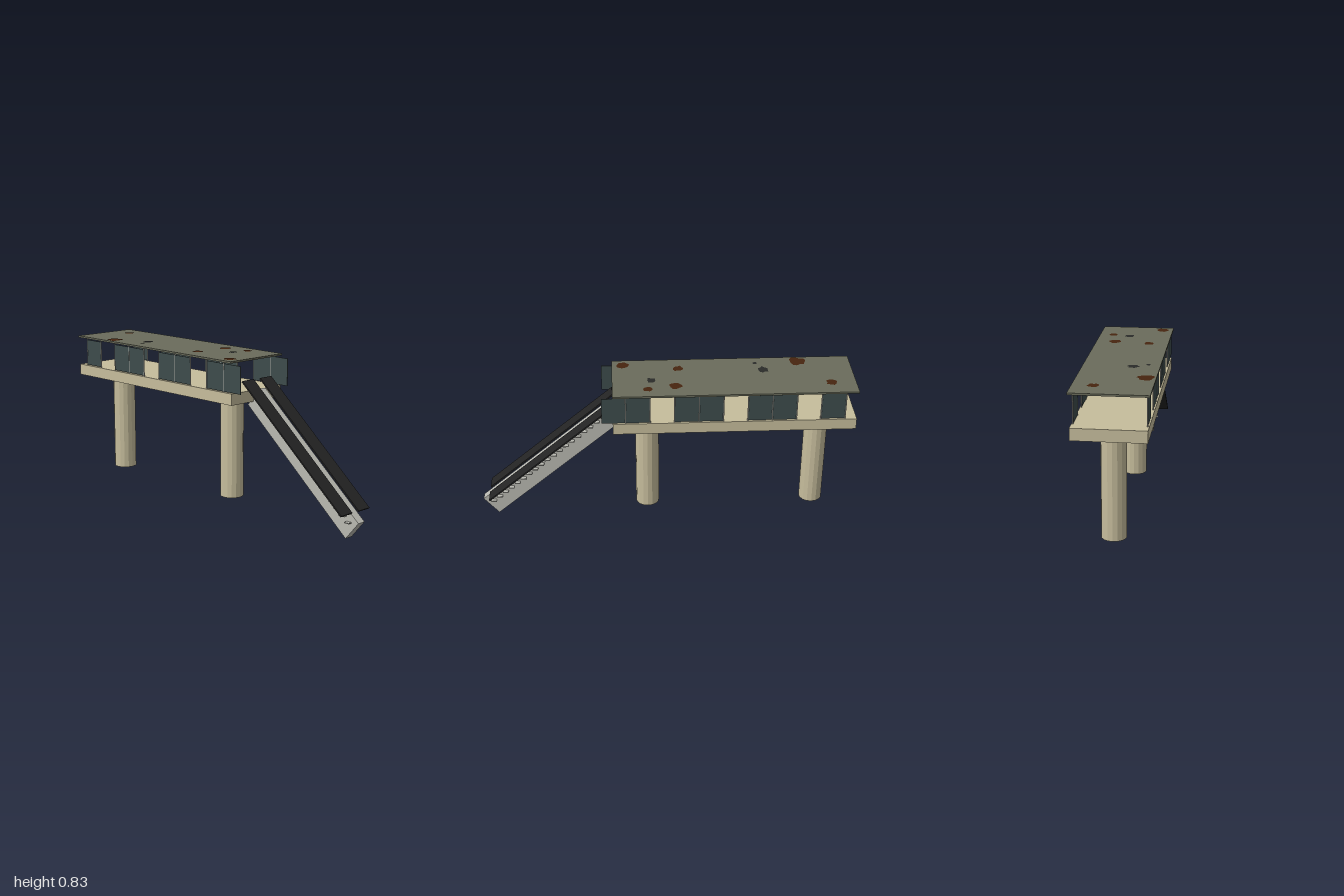
import * as THREE from 'three';

const mat = (name, color, extra = {}) => {
  const m = new THREE.MeshStandardMaterial({ color, ...extra });
  m.name = name;
  return m;
};

export function createModel() {
  const concrete = mat('concrete', 0xc6bd9c, { flatShading: true });
  const roofMetal = mat('roofMetal', 0x6a6c5b);
  const wallPanel = mat('wallPanel', 0x3d4b4b);
  const trim = mat('trim', 0xb0b0a8);
  const stairGrey = mat('stairGrey', 0xb9b9b1);
  const rubber = mat('rubber', 0x232323);
  const rust = mat('rust', 0x47240f, { side: THREE.DoubleSide });
  const grime = mat('grime', 0x2a2b29, { side: THREE.DoubleSide });

  const root = new THREE.Group();
  root.name = 'elevatedPlatform';
  const add = (parent, name, geo, material, x, y, z) => {
    const mesh = new THREE.Mesh(geo, material);
    mesh.name = name;
    mesh.position.set(x, y, z);
    parent.add(mesh);
    return mesh;
  };
  const box = (parent, name, material, w, h, d, x, y, z) =>
    add(parent, name, new THREE.BoxGeometry(w, h, d), material, x, y, z);

  // Deck, roof and support columns
  box(root, 'deck', concrete, 1.272, 0.061, 0.364, -0.364, 0.63, -0.001);
  box(root, 'roof', roofMetal, 1.272, 0.01, 0.382, -0.364, 0.824, -0.001);
  for (const x of [-0.82, 0.09]) {
    add(root, 'column', new THREE.CylinderGeometry(0.063, 0.063, 0.55, 16), concrete, x, 0.327, -0.001);
  }

  // Side walls: ten bays, every third one left open
  const pitch = 0.127, start = -0.938;
  const walls = new THREE.Group();
  walls.name = 'sideWalls';
  root.add(walls);
  for (const z of [0.172, -0.175]) {
    for (let i = 0; i < 10; i++) {
      if (i % 3 === 1) continue;
      box(walls, 'wallPanel', wallPanel, pitch - 0.005, 0.146, 0.004, start + (i + 0.5) * pitch, 0.737, z);
    }
    for (let i = 0; i < 10; i++) {
      add(walls, 'wallPost', new THREE.CylinderGeometry(0.0035, 0.0035, 0.16, 6), trim, start + i * pitch, 0.74, z);
    }
  }

  // Sloping stair: central beam with two belts on top
  const angle = Math.atan2(-0.573, 0.683);
  const stair = new THREE.Group();
  stair.name = 'stair';
  root.add(stair);
  box(stair, 'stairBeam', stairGrey, 0.893, 0.124, 0.047, 0.614, 0.338, -0.002).rotation.z = angle;
  for (const side of [1, -1]) {
    box(stair, 'stairBelt', rubber, 0.892, 0.008, 0.083, 0.613, 0.429, -0.002 + side * 0.0655).rotation.z = angle;
  }

  // Level treads poking out of both sides of the beam
  const steps = 20;
  for (let i = 0; i < steps; i++) {
    const t = i / (steps - 1);
    box(stair, 'tread', stairGrey, 0.03, 0.005, 0.092, 0.29 + 0.648 * t, 0.645 - 0.552 * t, -0.002);
  }

  // Ragged stains lying on the roof: x, z, radius
  let seed = 7;
  const rand = () => (seed = (seed * 16807) % 2147483647) / 2147483647;
  const stain = (name, material, x, z, r) => {
    const shape = new THREE.Shape();
    const n = 13;
    for (let i = 0; i < n; i++) {
      const a = (i / n) * Math.PI * 2, d = r * (0.72 + 0.4 * rand());
      shape[i ? 'lineTo' : 'moveTo'](Math.cos(a) * d, Math.sin(a) * d);
    }
    shape.closePath();
    add(root, name, new THREE.ShapeGeometry(shape).rotateX(-Math.PI / 2), material, x, 0.8305, z);
  };
  [[-0.87, -0.09, 0.03], [-0.72, 0.14, 0.045], [-0.06, -0.09, 0.034], [-0.08, 0.09, 0.029],
    [0.085, -0.12, 0.026], [0.215, 0.137, 0.034]].forEach((p) => stain('rustPatch', rust, ...p));
  [[-0.53, 0.06, 0.031], [-0.49, 0.13, 0.012], [0.068, -0.03, 0.026]]
    .forEach((p) => stain('grimePatch', grime, ...p));

  return root;
}
